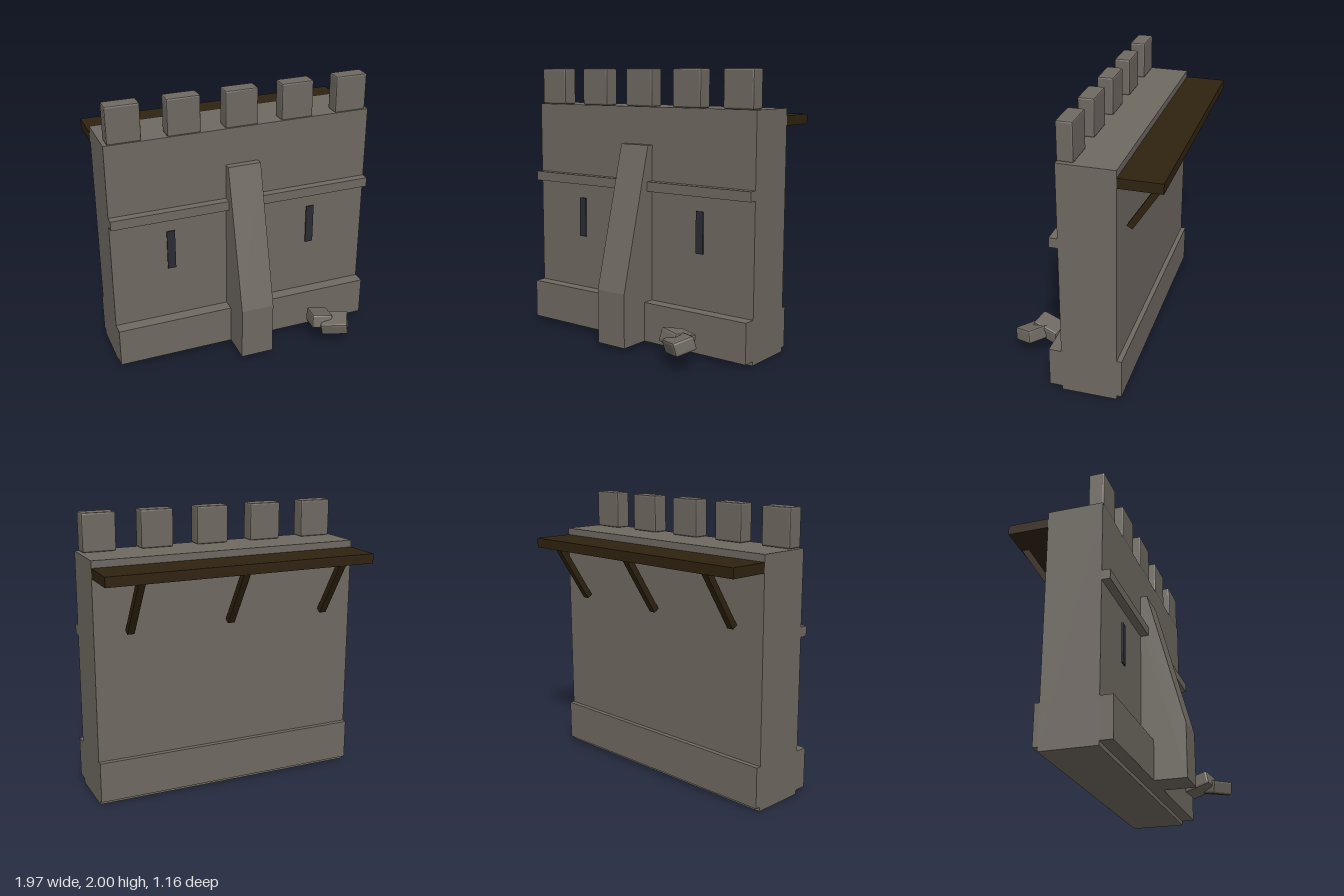
import * as THREE from 'three';
import { RoundedBoxGeometry } from 'three/addons/geometries/RoundedBoxGeometry.js';
import { toCreasedNormals } from 'three/addons/utils/BufferGeometryUtils.js';

export function createModel() {
  const model = new THREE.Group();
  model.name = 'castleWall';

  const makeMaterial = (name, color) => {
    const m = new THREE.MeshStandardMaterial({ color });
    m.name = name;
    return m;
  };
  const stone = makeMaterial('stone', 0x6e6860);
  const wood = makeMaterial('darkWood', 0x2f2210);
  const shadow = makeMaterial('slitDark', 0x2b2b34);

  const add = (name, geometry, material) => {
    const mesh = new THREE.Mesh(geometry, material);
    mesh.name = name;
    model.add(mesh);
    return mesh;
  };
  // Box given by its limits on each axis
  const addBox = (name, material, [x0, x1], [y0, y1], [z0, z1]) => {
    const mesh = add(name, new THREE.BoxGeometry(x1 - x0, y1 - y0, z1 - z0), material);
    mesh.position.set((x0 + x1) / 2, (y0 + y1) / 2, (z0 + z1) / 2);
    return mesh;
  };
  // Stone block with small chamfers
  const addBlock = (name, size, bevel, position, rotation = [0, 0, 0]) => {
    const geometry = toCreasedNormals(new RoundedBoxGeometry(...size, 1, bevel), 0.3);
    const mesh = add(name, geometry, stone);
    mesh.position.set(...position);
    mesh.rotation.set(...rotation, 'YXZ');
  };

  // Wall body, plinth and string course
  const span = [-0.985, 0.985];
  addBox('wallBody', stone, span, [0, 1.73], [-0.28, 0.115]);
  addBox('plinth', stone, span, [0.03, 0.32], [-0.315, 0.205]);
  addBox('stringCourse', stone, span, [1.13, 1.2], [0.1, 0.174]);

  // Battlements along the front edge
  for (let i = -2; i <= 2; i++) {
    addBlock('merlon', [0.24, 0.27, 0.115], 0.012, [i * 0.42, 1.865, 0.0575]);
  }

  // Sloped buttress, profile drawn in (z, y) and extruded across x
  const profile = new THREE.Shape([
    [0.05, 0.03], [0.437, 0.03], [0.437, 0.425], [0.165, 1.46], [0.05, 1.46],
  ].map(([z, y]) => new THREE.Vector2(-z, y)));
  const buttress = new THREE.ExtrudeGeometry(profile, { depth: 0.245, bevelEnabled: false });
  buttress.translate(0, 0, -0.1225);
  buttress.rotateY(Math.PI / 2);
  add('buttress', buttress, stone);

  // Arrow slits
  for (const side of [-1, 1]) {
    const x = side * 0.545;
    addBox('arrowSlit', shadow, [x - 0.03, x + 0.03], [0.72, 1.02], [0.118, 0.127]);
  }

  // Timber walkway on the back, with diagonal struts
  addBox('walkway', wood, span, [1.61, 1.68], [-0.575, -0.28]);
  const foot = new THREE.Vector3(0, 1.232, -0.302);
  const head = new THREE.Vector3(0, 1.625, -0.552);
  const run = head.clone().sub(foot);
  for (let i = -1; i <= 1; i++) {
    const strut = add('walkwayStrut', new THREE.BoxGeometry(0.05, run.length(), 0.045), wood);
    strut.position.copy(foot).add(head).multiplyScalar(0.5);
    strut.position.x = i * 0.74;
    strut.rotation.x = Math.atan2(run.z, run.y);
  }

  // Fallen stones
  addBlock('fallenStone', [0.155, 0.105, 0.2], 0.015, [0.542, 0.175, 0.37], [-0.25, -0.2, -0.1]);
  addBlock('fallenStone', [0.2, 0.1, 0.16], 0.015, [0.625, 0.17, 0.466], [0.24, -0.5, 0.13]);

  return model;
}
